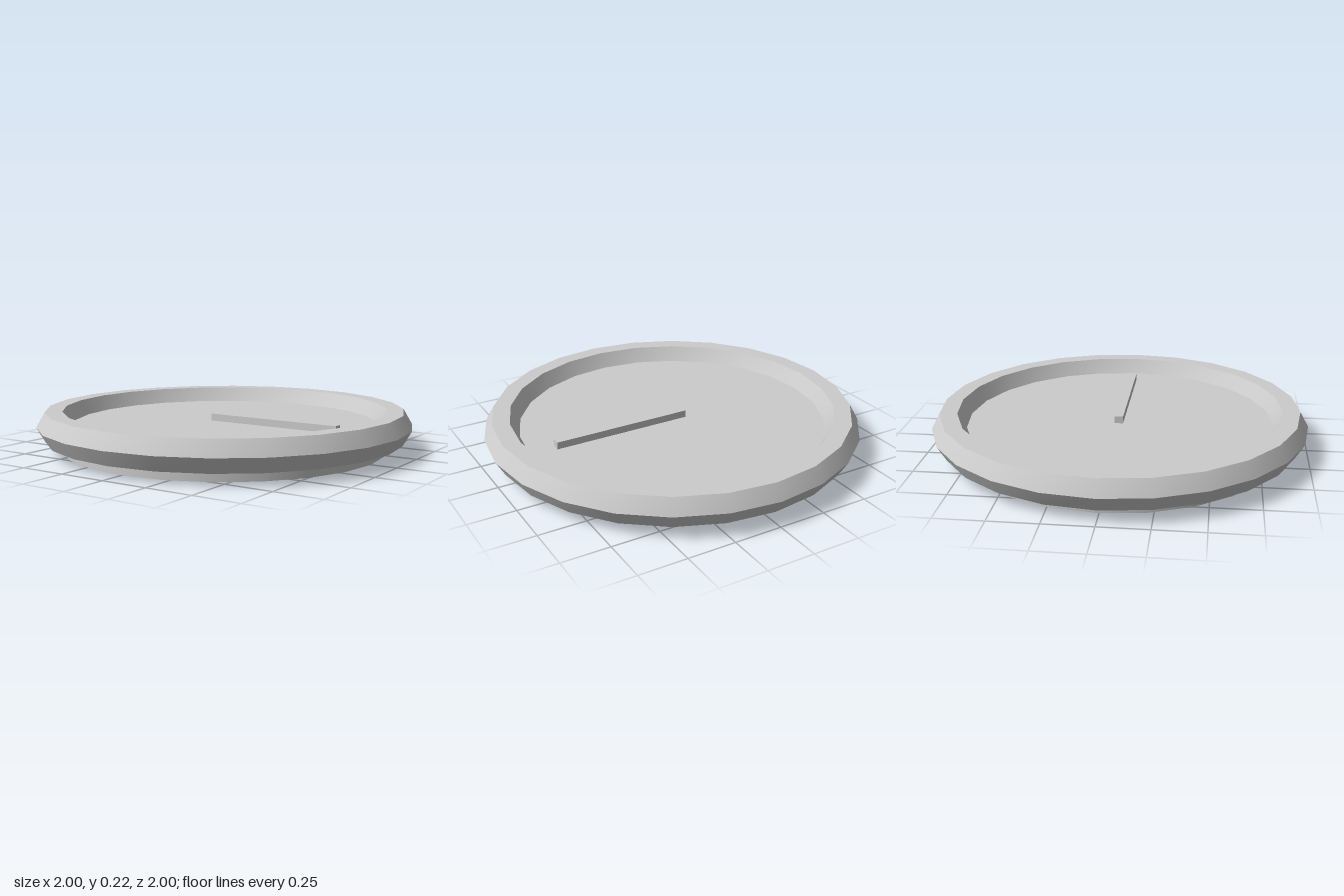
import * as THREE from 'three';
import { toCreasedNormals } from 'three/addons/utils/BufferGeometryUtils.js';

const SIDES = 24;
const RIM_RADIUS = 0.909; // centre line of the hexagonal rim
const RIM_TUBE = 0.091;
const PLATE_Y = 0.137; // height of the plate and of the rim's centre
const WALL_RADIUS = 0.864;

export function createModel() {
  const grey = new THREE.MeshStandardMaterial({ color: 0xcccccc, side: THREE.DoubleSide });
  grey.name = 'light grey';

  const model = new THREE.Group();
  model.name = 'dial';
  const add = (name, geometry, x, y, z) => {
    const mesh = new THREE.Mesh(geometry, grey);
    mesh.name = name;
    mesh.position.set(x, y, z);
    model.add(mesh);
  };

  // Raised rim: six-sided ring, smooth around and creased between its bands
  const ring = new THREE.TorusGeometry(RIM_RADIUS, RIM_TUBE, 6, SIDES).rotateX(-Math.PI / 2);
  add('rim', toCreasedNormals(ring, 0.6), 0, PLATE_Y, 0);

  // Base wall, hollow and open underneath
  const wall = new THREE.CylinderGeometry(WALL_RADIUS, WALL_RADIUS, PLATE_Y, SIDES, 1, true);
  add('baseWall', wall, 0, PLATE_Y / 2, 0);

  // Flat plate closing the wall at mid rim
  add('plate', new THREE.CircleGeometry(WALL_RADIUS, SIDES).rotateX(-Math.PI / 2), 0, PLATE_Y, 0);

  // Single pointer running from just past the centre towards +x
  add('pointer', new THREE.BoxGeometry(0.75, 0.038, 0.046), 0.305, 0.159, 0);

  return model;
}
